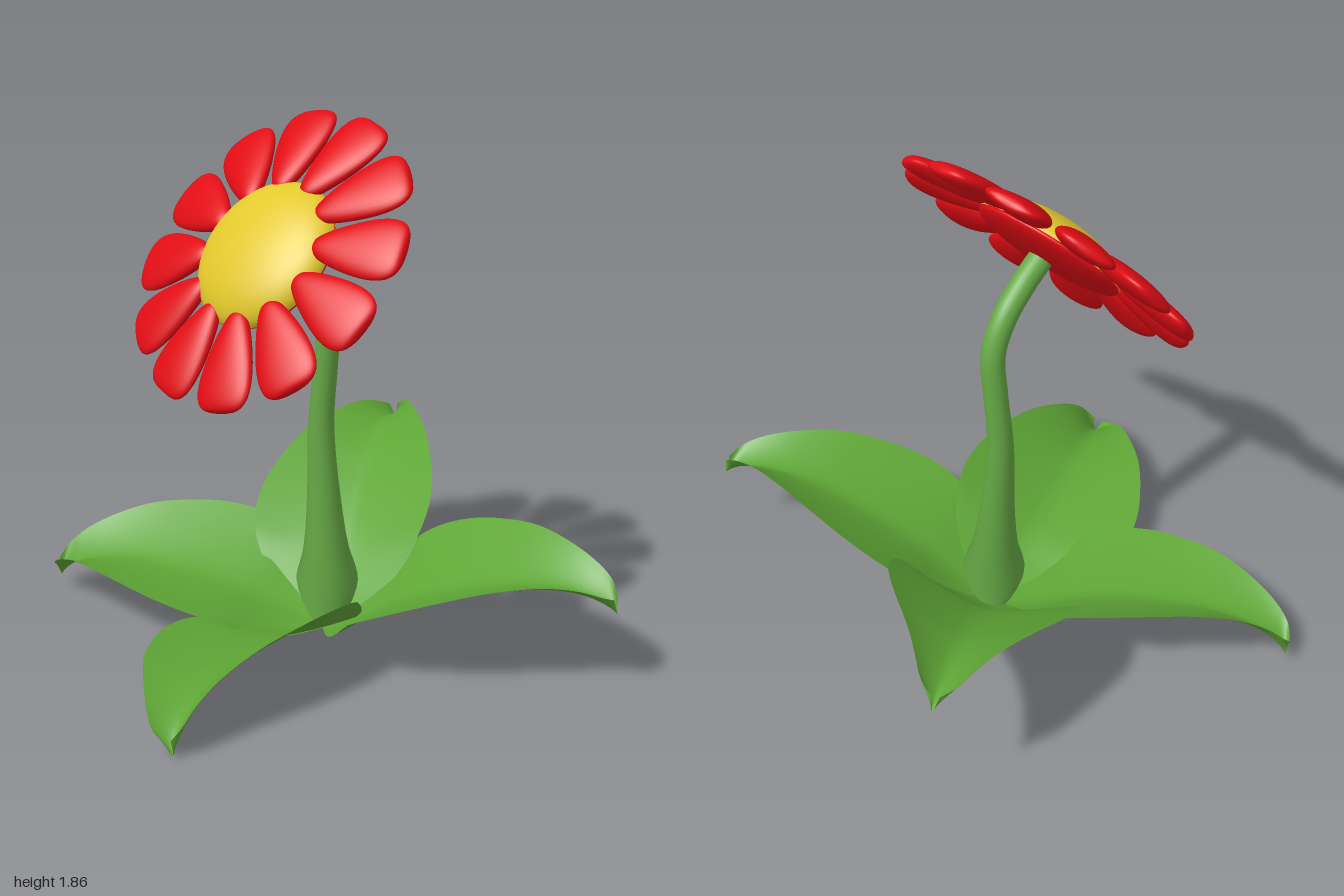
import * as THREE from 'three';

const V = (x, y, z) => new THREE.Vector3(x, y, z);
const RAD = Math.PI / 180;
const paint = (color, side = THREE.FrontSide) => new THREE.MeshStandardMaterial({ color, side });

function add(parent, name, geometry, material) {
  const mesh = new THREE.Mesh(geometry, material);
  mesh.name = name;
  parent.add(mesh);
  return mesh;
}

// Leaf along +x: each section holds distance, spine height and half width
function leafGeometry() {
  const sections = new THREE.CatmullRomCurve3([
    V(0, 0, 0.04), V(0.1, 0.03, 0.19), V(0.2, 0.075, 0.29), V(0.32, 0.135, 0.335),
    V(0.46, 0.185, 0.33), V(0.6, 0.222, 0.292), V(0.75, 0.25, 0.232), V(0.9, 0.248, 0.15),
    V(1.0, 0.222, 0.095), V(1.055, 0.19, 0.058), V(1.08, 0.165, 0.015),
  ]);
  const g = new THREE.PlaneGeometry(1, 1, 40, 16).rotateX(-Math.PI / 2);
  const p = g.attributes.position;
  for (let i = 0; i < p.count; i++) {
    const c = sections.getPoint(THREE.MathUtils.clamp(p.getX(i) + 0.5, 0, 1));
    const v = p.getZ(i) * 2;
    // raised edges that stay folded up at the drooping tip
    const lift = (0.06 + 0.14 * c.z) * Math.min(1, c.x * 4) * Math.pow(Math.abs(v), 1.3);
    p.setXYZ(i, c.x, c.y + lift, c.z * v);
  }
  g.computeVertexNormals();
  return g;
}

// Tube whose radius follows a profile along its path
function stemGeometry() {
  const path = new THREE.CatmullRomCurve3([
    V(-0.03, 0.03, -0.1), V(-0.03, 0.2, -0.1), V(-0.045, 0.45, -0.1), V(-0.063, 0.78, -0.1),
    V(-0.045, 1.0, -0.105), V(-0.03, 1.15, -0.1), V(-0.03, 1.27, -0.05),
    V(-0.03, 1.36, 0.04), V(-0.03, 1.43, 0.14),
  ]);
  const radii = new THREE.SplineCurve([
    [0, 0.045], [0.06, 0.09], [0.12, 0.11], [0.2, 0.08], [0.32, 0.06],
    [0.5, 0.046], [0.7, 0.042], [0.85, 0.044], [1, 0.044],
  ].map(([x, y]) => new THREE.Vector2(x, y)));
  const rings = 64, sides = 24;
  const g = new THREE.TubeGeometry(path, rings, 1, sides);
  const p = g.attributes.position, n = g.attributes.normal;
  // radius as a function of arc length, read from the spline
  const samples = radii.getPoints(200);
  const radiusAt = (t) => (samples.find((s) => s.x >= t - 1e-6) || samples[200]).y;
  for (let i = 0; i < p.count; i++) {
    const k = radiusAt(Math.floor(i / (sides + 1)) / rings) - 1;
    p.setXYZ(i, p.getX(i) + k * n.getX(i), p.getY(i) + k * n.getY(i), p.getZ(i) + k * n.getZ(i));
  }
  return g;
}

// Pillow-shaped petal along +y, blunt at the outer end and bent slightly back
function petalGeometry() {
  const g = new THREE.SphereGeometry(1, 28, 24);
  const p = g.attributes.position;
  for (let i = 0; i < p.count; i++) {
    const u = p.getY(i);
    const ring = Math.sqrt(Math.max(1 - u * u, 0));
    const blunt = ring > 1e-4 ? Math.pow(ring, 0.55) / ring : 0;
    const r = 0.4 + 0.168 * u;
    p.setXYZ(i, p.getX(i) * blunt * (0.255 * r - 0.004), r, p.getZ(i) * blunt * 0.036 + 0.01 - 0.027 * u);
  }
  g.computeVertexNormals();
  return g;
}

export function createModel() {
  const model = new THREE.Group();
  model.name = 'flower';
  const leafGreen = paint(0x5fa636, THREE.DoubleSide);
  const stemGreen = paint(0x66a845);
  const red = paint(0xe00c14);
  const yellow = paint(0xe2c82c);

  // Stem with a rounded foot
  add(model, 'stem', stemGeometry(), stemGreen);
  const foot = add(model, 'stemFoot', new THREE.SphereGeometry(0.045, 20, 12), stemGreen);
  foot.scale.y = 0.3;
  foot.position.set(-0.03, 0.033, -0.1);

  // Four leaves around the base, the whole ring leaning forward
  const leaves = new THREE.Group();
  leaves.name = 'leaves';
  leaves.position.set(-0.03, 0.03, -0.1);
  leaves.rotation.x = 14 * RAD;
  model.add(leaves);
  const leafShape = leafGeometry();
  // name, heading, pitch, roll, length
  const placements = [
    ['rightHandLeaf', 206, -1.5, 0, 0.985],
    ['leftHandLeaf', 22, 0, -4, 1.03],
    ['backLeaf', 119.5, 3.5, 0, 1.01],
    ['frontLeaf', 293.5, 3.3, 11, 1],
  ];
  for (const [name, heading, pitch, roll, length] of placements) {
    const leaf = add(leaves, name, leafShape, leafGreen);
    leaf.rotation.set(roll * RAD, heading * RAD, pitch * RAD, 'YZX');
    leaf.scale.x = length;
  }

  // Flower head, tipped to look upward
  const head = new THREE.Group();
  head.name = 'flowerHead';
  head.position.set(-0.03, 1.44, 0.175);
  head.rotation.x = -39 * RAD;
  model.add(head);

  const dome = add(head, 'centreDome',
    new THREE.SphereGeometry(0.275, 48, 16, 0, Math.PI * 2, 0, Math.PI / 2).rotateX(Math.PI / 2), yellow);
  dome.scale.z = 0.41;
  const back = add(head, 'backDisc', new THREE.SphereGeometry(0.272, 40, 20), red);
  back.scale.z = 0.15;
  back.position.z = -0.006;

  const petalShape = petalGeometry();
  for (let i = 0; i < 12; i++) {
    const petal = add(head, 'petal', petalShape, red);
    petal.rotation.z = (15 + 30 * i) * RAD;
  }
  return model;
}
